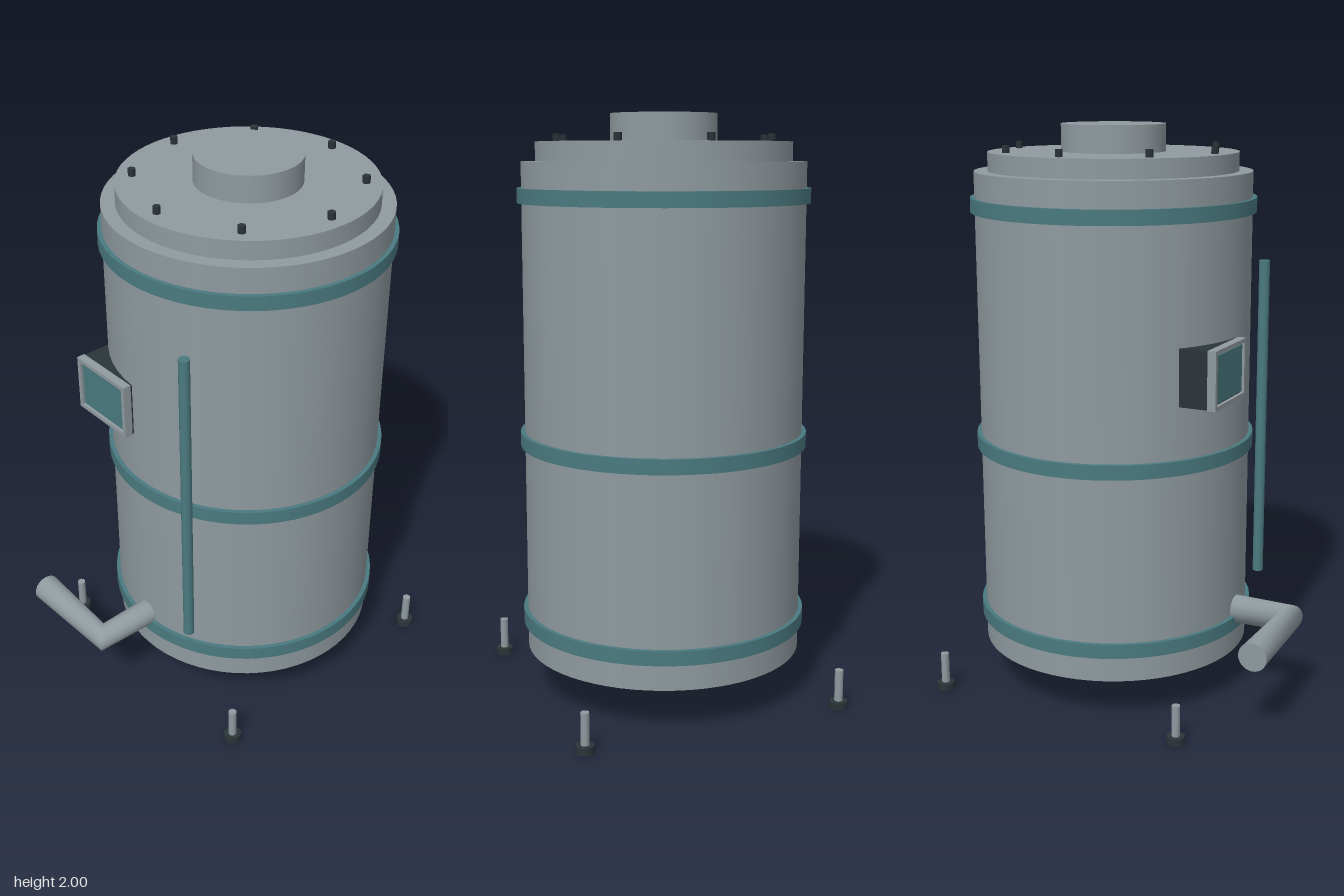
import * as THREE from 'three';

const mat = (name, color) => {
  const m = new THREE.MeshStandardMaterial({ color });
  m.name = name;
  return m;
};

export function createModel() {
  const steel = mat('steel grey', 0x8f9a9f);
  const teal = mat('teal', 0x4a7a80);
  const dark = mat('dark grey', 0x2b3438);

  const model = new THREE.Group();
  model.name = 'storageTank';

  const add = (name, geometry, material, x, y, z, parent = model) => {
    const mesh = new THREE.Mesh(geometry, material);
    mesh.name = name;
    mesh.position.set(x, y, z);
    parent.add(mesh);
    return mesh;
  };
  // Upright cylinder between two heights
  const drum = (name, r, y0, y1, material, x, z, sides = 64, parent = model) =>
    add(name, new THREE.CylinderGeometry(r, r, y1 - y0, sides), material, x, (y0 + y1) / 2, z, parent);

  // Tank, lid and neck
  const cz = -0.123;
  drum('body', 0.48, 0.155, 1.843, steel, 0, cz);
  drum('lid', 0.432, 1.843, 1.907, steel, 0, cz);
  drum('neck', 0.18, 1.907, 2, steel, 0, cz);

  // Hoops around the tank
  for (const y of [0.27, 0.902, 1.73]) drum('hoop', 0.495, y - 0.025, y + 0.025, teal, 0, cz);

  // Ring of lid bolts
  for (let i = 0; i < 8; i++) {
    const a = (i / 8) * Math.PI * 2;
    drum('lidBolt', 0.0135, 1.9, 1.932, dark, 0.378 * Math.sin(a), cz + 0.378 * Math.cos(a), 6);
  }

  // Four separate levelling feet
  for (const sx of [-1, 1]) {
    for (const sz of [-1, 1]) {
      const foot = new THREE.Group();
      foot.name = 'foot';
      foot.position.set(sx * 0.46, 0, cz + sz * 0.46);
      drum('footPad', 0.031, 0, 0.025, dark, 0, 0, 20, foot);
      drum('footStem', 0.0145, 0.02, 0.135, steel, 0, 0, 12, foot);
      model.add(foot);
    }
  }

  // Level gauge
  drum('gaugeTube', 0.019, 0.375, 1.53, teal, 0.235, 0.349, 20);

  // Display: dark housing, open frame, screen
  const display = new THREE.Group();
  display.name = 'display';
  display.position.set(-0.16, 1.205, 0);
  model.add(display);
  add('displayHousing', new THREE.BoxGeometry(0.254, 0.196, 0.12), dark, 0, 0, 0.302, display);
  const rect = (Path, w, h) => new Path([
    new THREE.Vector2(-w, -h), new THREE.Vector2(w, -h),
    new THREE.Vector2(w, h), new THREE.Vector2(-w, h),
  ]);
  const frame = rect(THREE.Shape, 0.129, 0.1);
  frame.holes.push(rect(THREE.Path, 0.114, 0.086));
  add('displayFrame', new THREE.ExtrudeGeometry(frame, { depth: 0.03, bevelEnabled: false }),
    steel, 0, 0, 0.362, display);
  add('displayBezel', new THREE.BoxGeometry(0.23, 0.174, 0.018), dark, 0, 0, 0.371, display);
  add('screen', new THREE.BoxGeometry(0.216, 0.16, 0.006), teal, 0, 0, 0.383, display);

  // Mitred drain pipe: out of the tank, then sideways
  const py = 0.31, bend = 0.563, reach = 0.355;
  const corner = new THREE.Vector3(0, py, bend);
  const path = new THREE.CurvePath();
  path.add(new THREE.LineCurve3(new THREE.Vector3(0, py, bend - reach), corner));
  path.add(new THREE.LineCurve3(corner, new THREE.Vector3(-reach, py, bend)));
  add('drainPipe', new THREE.TubeGeometry(path, 2, 0.05, 32), steel, 0, 0, 0);
  add('drainPipeEnd', new THREE.CircleGeometry(0.05, 32), steel, -reach, py, bend).rotation.y = -Math.PI / 2;

  return model;
}
